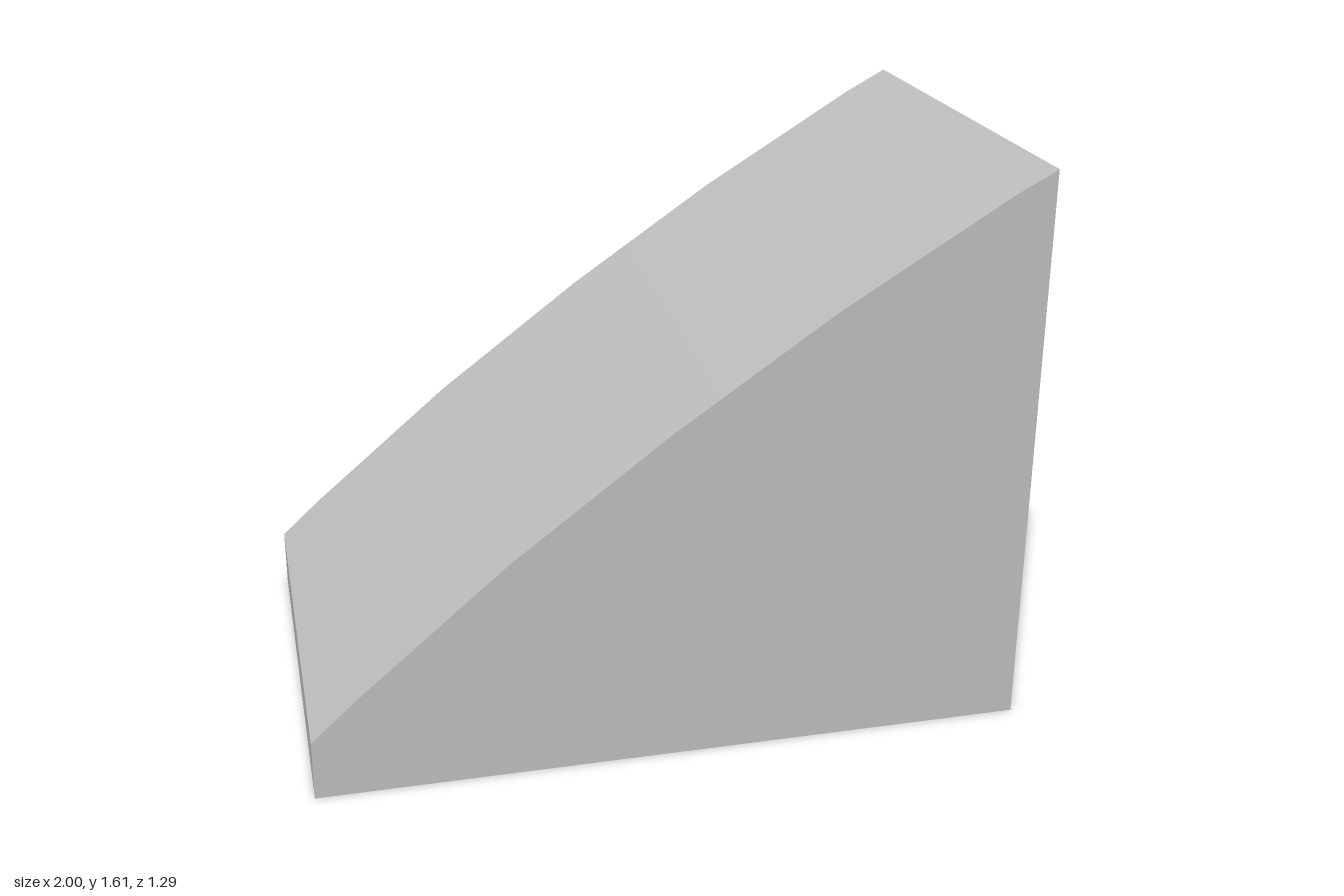
import * as THREE from 'three';
import { ConvexGeometry } from 'three/addons/geometries/ConvexGeometry.js';
import { toCreasedNormals } from 'three/addons/utils/BufferGeometryUtils.js';

const HALF_DEPTH = 0.645;

export function createModel() {
  const group = new THREE.Group();
  group.name = 'wedgeBlock';

  const grey = new THREE.MeshStandardMaterial({ color: 0xc0c0c0 });
  grey.name = 'plain grey';

  // Gently arched sloping top, from the low left end to the tall right end
  const slope = [
    [-1, 0.17], [-0.88, 0.28], [-0.46, 0.635], [-0.02, 0.965],
    [0.42, 1.265], [0.88, 1.545], [1, 1.61],
  ];
  const points = [];
  for (const z of [-HALF_DEPTH, HALF_DEPTH]) {
    for (const [x, y] of slope) points.push(new THREE.Vector3(x, y, z));
    points.push(new THREE.Vector3(-1, 0, z));
  }

  // Front bottom corner stays square
  points.push(new THREE.Vector3(1, 0, HALF_DEPTH));

  // Back bottom corner is sliced off by a slanted triangle
  points.push(
    new THREE.Vector3(1, 0.35, -HALF_DEPTH),
    new THREE.Vector3(1, 0, 0.305),
    new THREE.Vector3(-0.4, 0, -HALF_DEPTH),
  );

  // Smooth over the shallow arch, sharp at all other edges
  const body = new THREE.Mesh(toCreasedNormals(new ConvexGeometry(points), 0.15), grey);
  body.name = 'wedgeBody';
  group.add(body);
  return group;
}
